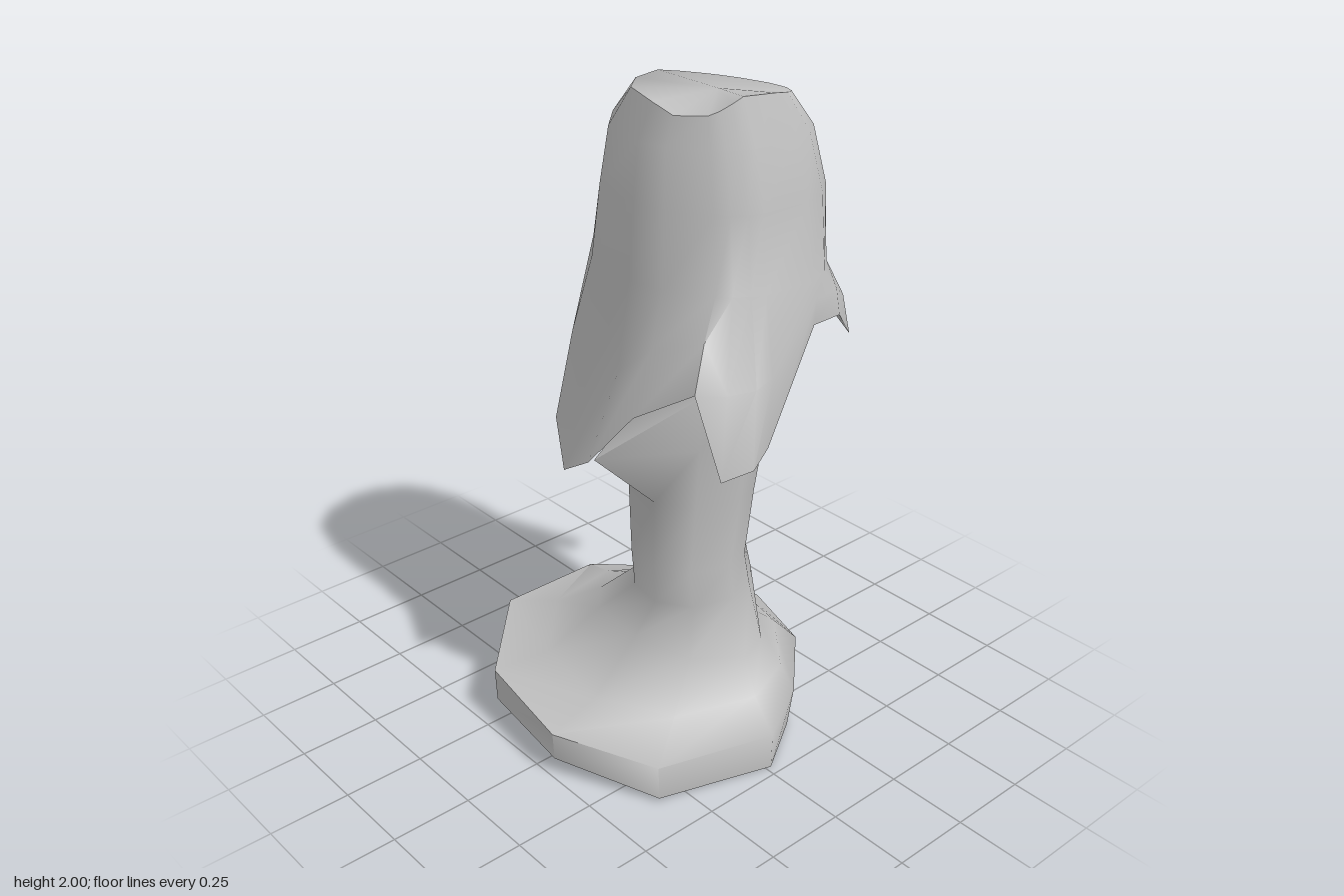
import * as THREE from 'three';
import { toCreasedNormals } from 'three/addons/utils/BufferGeometryUtils.js';

const V = (x, y, z) => new THREE.Vector3(x, y, z);

// Skin a stack of closed rings, skipping collapsed triangles
function loft(rings, crease) {
  const pos = [];
  const tri = (a, b, c) => {
    if (a.distanceTo(b) < 1e-5 || b.distanceTo(c) < 1e-5 || c.distanceTo(a) < 1e-5) return;
    for (const p of [a, b, c]) pos.push(p.x, p.y, p.z);
  };
  for (let i = 0; i < rings.length - 1; i++) {
    const lo = rings[i], hi = rings[i + 1], n = lo.length;
    for (let j = 0; j < n; j++) {
      const k = (j + 1) % n;
      tri(lo[j], lo[k], hi[k]);
      tri(lo[j], hi[k], hi[j]);
    }
  }
  const g = new THREE.BufferGeometry();
  g.setAttribute('position', new THREE.Float32BufferAttribute(pos, 3));
  return toCreasedNormals(g, crease);
}

// Ellipse filling the given x and z extents, sampled at the given angles
function oval(angles, x0, x1, z0, z1, yAt) {
  return angles.map((a) => {
    const x = (x0 + x1) / 2 + Math.sin(a) * (x1 - x0) / 2;
    const z = (z0 + z1) / 2 + Math.cos(a) * (z1 - z0) / 2;
    return V(x, yAt(x, z), z);
  });
}

const anglesAbout = (pts, cx, cz) => pts.map((p) => Math.atan2(p.x - cx, p.z - cz));

export function createModel() {
  const model = new THREE.Group();
  const grey = new THREE.MeshStandardMaterial({ color: 0xbfbfbf, side: THREE.DoubleSide });
  grey.name = 'grey';
  const add = (name, geometry) => {
    const mesh = new THREE.Mesh(geometry, grey);
    mesh.name = name;
    model.add(mesh);
  };

  // Tilted faceted foot flowing up into the stem
  const outline = [
    [0.02, 0.47], [0.22, 0.36], [0.41, 0.18], [0.47, -0.06], [0.38, -0.33],
    [0.14, -0.53], [-0.2, -0.53], [-0.45, -0.27], [-0.49, 0.07], [-0.34, 0.37],
  ];
  const footTop = outline.map(([x, z]) => V(x, 0.15 - 0.075 * z, z));
  const footLow = outline.map(([x, z]) => {
    const y = 0.02 - 0.042 * z + 0.17 * Math.max(0, -z - 0.3) + 0.2 * Math.max(0, Math.abs(x) - 0.3);
    return V(x * (x > 0 ? 0.89 : 0.99), y, z);
  });
  const sa = anglesAbout(footTop, 0, -0.03);
  // Stem spreads into a web that meets the skirt on one side
  const web = oval(sa, -0.14, 0.265, -0.145, 0.285, () => 1.0);
  web[8].set(-0.32, 1.0, 0.08);
  const stemRings = [
    outline.map(() => V(0, 0.02, 0)),
    footLow,
    footTop,
    oval(sa, -0.33, 0.36, -0.42, 0.385, (x, z) => 0.215 + 0.07 * x - 0.03 * z),
    oval(sa, -0.17, 0.285, -0.29, 0.3, (x) => 0.285 + 0.35 * Math.max(0, -x)),
    oval(sa, -0.15, 0.22, -0.07, 0.27, () => 0.49),
    oval(sa, -0.145, 0.2, -0.09, 0.26, () => 0.6),
    oval(sa, -0.135, 0.23, -0.125, 0.27, () => 0.81),
    web,
    oval(sa, -0.16, 0.29, -0.16, 0.3, () => 1.17),
    oval(sa, -0.16, 0.33, -0.19, 0.33, () => 1.4),
  ];
  add('stemAndFoot', loft(stemRings, 1.25));

  // Ragged rim of the cap: x, y, z of each tip or notch, and how far the flap above it swells
  const rimData = [
    [-0.15, 1.09, 0.53, 0.03], [-0.06, 1.11, 0.49, 0.03], [0.16, 1.38, 0.43, 0.01],
    [0.28, 1.37, 0.41, 0.01], [0.38, 1.27, 0.36, 0.01], [0.41, 1.4, 0.19, 0],
    [0.49, 1.14, 0.04, 0.005], [0.42, 0.93, -0.12, 0.03], [0.38, 0.92, -0.2, 0.03],
    [0.34, 1.09, -0.28, 0], [0.25, 1.02, -0.41, 0], [0.08, 1.14, -0.33, -0.06],
    [-0.13, 0.91, -0.34, 0], [-0.25, 0.85, -0.15, -0.04], [-0.34, 1.0, 0.08, -0.045],
    [-0.28, 1.16, 0.2, -0.03], [-0.26, 1.3, 0.42, 0], [-0.21, 1.05, 0.47, 0.02],
  ];
  const rim = rimData.map(([x, y, z]) => V(x, y, z));
  const cx = 0.09, cz = 0.05;
  const ca = anglesAbout(rim, cx, cz);
  const shoulder = oval(ca, -0.2, 0.4, -0.29, 0.425, () => 1.5);
  const flap = rim.map((p, i) => {
    const q = shoulder[i].clone().lerp(p, 0.55);
    const out = rimData[i][3];
    return V(q.x + Math.sin(ca[i]) * out, q.y + 0.02, q.z + Math.cos(ca[i]) * out);
  });
  // Underside follows the outer skin, pulled inwards
  const inner = flap.map((p) => V(cx + (p.x - cx) * 0.9, p.y - 0.03, cz + (p.z - cz) * 0.9));
  const throat = oval(ca, -0.13, 0.31, -0.16, 0.31, () => 1.4);
  // Crown is cut nearly flat, dropping to one side and at one front corner
  const crownY = (x, z) => 2 - 0.2 * Math.max(0, x - 0.07) - 0.05 * Math.max(0, 0.31 - z)
    - 1.2 * Math.max(0, 0.574 * z - 0.82 * x - 0.17);
  const capRings = [
    throat, inner, rim, flap, shoulder,
    oval(ca, -0.185, 0.41, -0.25, 0.39, () => 1.71),
    oval(ca, -0.165, 0.375, -0.21, 0.35, () => 1.87),
    oval(ca, -0.14, 0.29, -0.1, 0.31, crownY),
    rim.map(() => V(0.05, 1.985, 0.16)),
  ];
  add('cap', loft(capRings, 1.05));
  return model;
}
